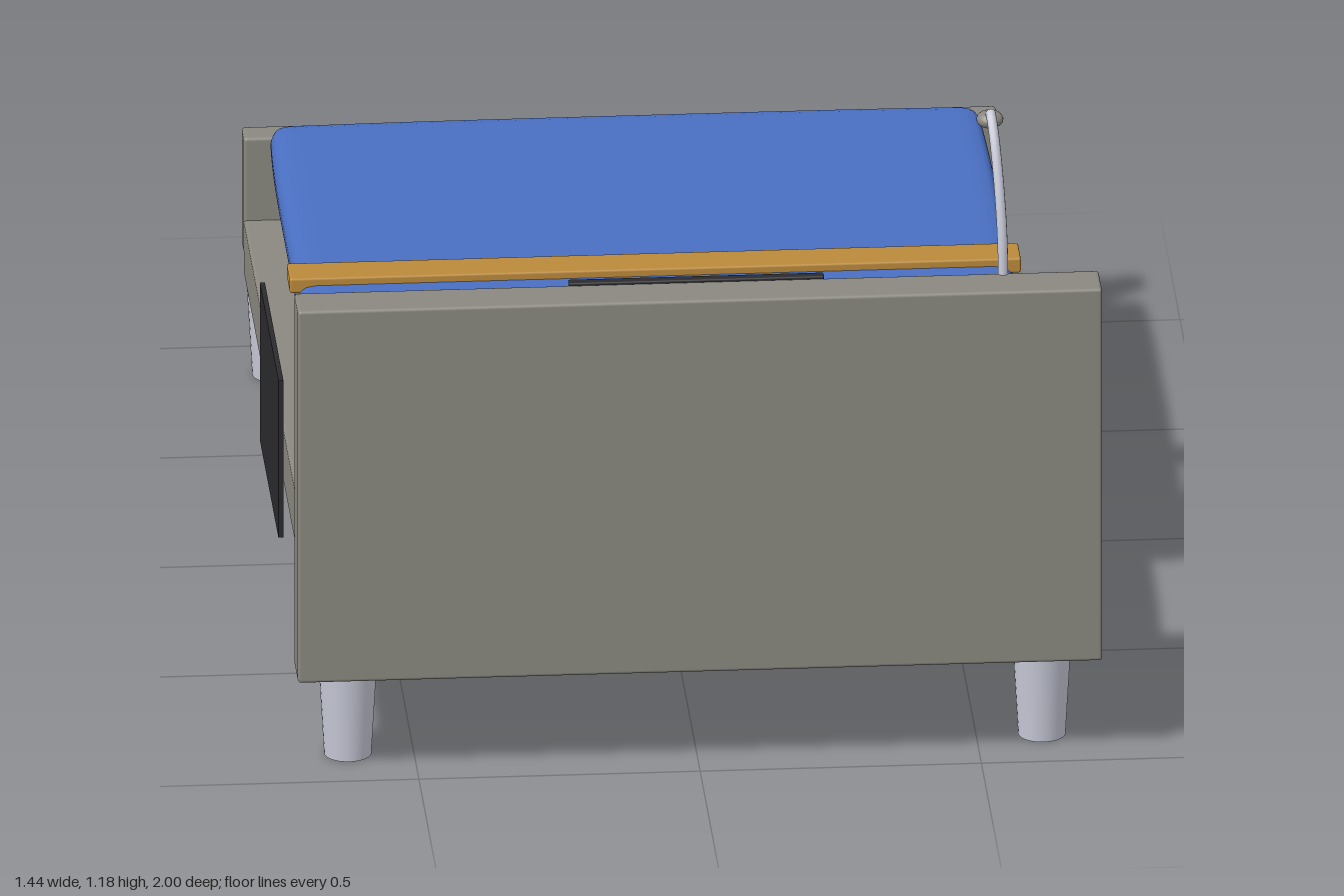
import * as THREE from 'three';
import { mergeVertices } from 'three/addons/utils/BufferGeometryUtils.js';
import { RoundedBoxGeometry } from 'three/addons/geometries/RoundedBoxGeometry.js';

const mat = (name, color) => {
  const m = new THREE.MeshStandardMaterial({ color });
  m.name = name;
  return m;
};

// Soft box: rounded corners plus sides that swell by `bulge` in the middle
function cushion(w, h, d, r, bulge) {
  let g = new THREE.BoxGeometry(2, 2, 2, 28, 14, 28);
  g.deleteAttribute('uv');
  g.deleteAttribute('normal');
  g = mergeVertices(g);
  const half = new THREE.Vector3(w / 2, h / 2, d / 2);
  const inner = half.clone().subScalar(r);
  const p = g.attributes.position;
  const v = new THREE.Vector3(), c = new THREE.Vector3();
  for (let i = 0; i < p.count; i++) {
    v.fromBufferAttribute(p, i);
    v.set(...v.toArray().map((t) => Math.sin(t * Math.PI / 2))).multiply(half);
    c.copy(v).clamp(inner.clone().negate(), inner);
    v.sub(c).setLength(r).add(c);
    const a = (v.x / half.x) ** 4, b = (v.z / half.z) ** 4;
    v.x -= Math.sign(v.x) * bulge * b * Math.abs(v.x / half.x);
    v.z -= Math.sign(v.z) * bulge * a * Math.abs(v.z / half.z);
    p.setXYZ(i, v.x, v.y, v.z);
  }
  g.computeVertexNormals();
  return g;
}

export function createModel() {
  const bed = new THREE.Group();
  bed.name = 'bed';
  const taupe = mat('taupe frame', 0x8a887f);
  const linen = mat('pale linen', 0xc6c8d6);
  const blue = mat('blue blanket', 0x4a6fc2);
  const amber = mat('amber runner', 0xbb8a3a);
  const black = mat('black panel', 0x2b2b2e);
  const glass = mat('grey screen', 0x9a9ca8);

  const add = (name, geo, m, x, y, z) => {
    const mesh = new THREE.Mesh(geo, m);
    mesh.name = name;
    mesh.position.set(x, y, z);
    bed.add(mesh);
    return mesh;
  };
  // Box given by its limits on each axis, with a small rounded edge
  const block = (name, m, [x0, x1], [y0, y1], [z0, z1], r = 0.006) =>
    add(name, new RoundedBoxGeometry(x1 - x0, y1 - y0, z1 - z0, 2, r), m,
      (x0 + x1) / 2, (y0 + y1) / 2, (z0 + z1) / 2);

  // Frame
  block('baseFrame', taupe, [-0.67, 0.67], [0.17, 0.275], [-0.93, 0.92]);
  block('headboard', taupe, [-0.715, 0.715], [0.19, 0.905], [0.912, 1]);
  block('footboard', taupe, [-0.67, 0.67], [0.208, 0.433], [-0.976, -0.92]);
  add('headboardPad', cushion(1.21, 0.31, 0.06, 0.025, 0.004), taupe, 0, 0.645, 0.915);

  // Tapered legs
  for (const x of [-0.617, 0.617]) {
    for (const z of [-0.87, 0.87]) {
      add('leg', new THREE.CylinderGeometry(0.052, 0.042, 0.175, 32), linen, x, 0.0875, z);
    }
  }

  // Bedding
  add('mattress', cushion(1.23, 0.162, 1.735, 0.065, 0.02), linen, 0, 0.355, 0);
  add('pillow', cushion(0.79, 0.118, 0.315, 0.052, 0.012), linen, 0, 0.501, 0.61);
  add('blanket', cushion(1.275, 0.068, 1.125, 0.03, 0.008), blue, 0, 0.465, -0.281);
  add('blanketRoll', new THREE.CylinderGeometry(0.045, 0.045, 1.265, 32), blue, 0, 0.48, 0.296)
    .rotation.z = Math.PI / 2;
  block('runner', amber, [-0.65, 0.65], [0.485, 0.513], [-0.156, -0.082], 0.004);

  // Screen on the headboard
  block('screenFrame', black, [-0.227, 0.227], [0.81, 0.909], [0.895, 0.914], 0.003);
  add('screen', new THREE.BoxGeometry(0.39, 0.066, 0.004), glass, 0, 0.859, 0.8945);

  // Upright panel at the side
  add('sidePanel', new THREE.BoxGeometry(0.009, 0.302, 0.45), black, -0.716, 0.455, 0.375);

  // Reading lamp
  const arm = new THREE.CatmullRomCurve3([
    [0.545, 0.89, 0.917], [0.544, 0.97, 0.908], [0.54, 1.06, 0.883],
    [0.534, 1.14, 0.845], [0.53, 1.172, 0.815], [0.53, 1.16, 0.8],
  ].map((q) => new THREE.Vector3(...q)));
  add('lampArm', new THREE.TubeGeometry(arm, 32, 0.009, 12), linen, 0, 0, 0);
  add('lampHead', new THREE.SphereGeometry(0.024, 24, 16), taupe, 0.53, 1.153, 0.797)
    .scale.y = 0.65;

  // Button on the footboard
  add('buttonRing', new THREE.CylinderGeometry(0.027, 0.027, 0.014, 32), black, 0.527, 0.345, -0.98)
    .rotation.x = Math.PI / 2;
  add('button', new THREE.SphereGeometry(0.02, 24, 16), blue, 0.527, 0.345, -0.985)
    .scale.z = 0.75;

  return bed;
}
